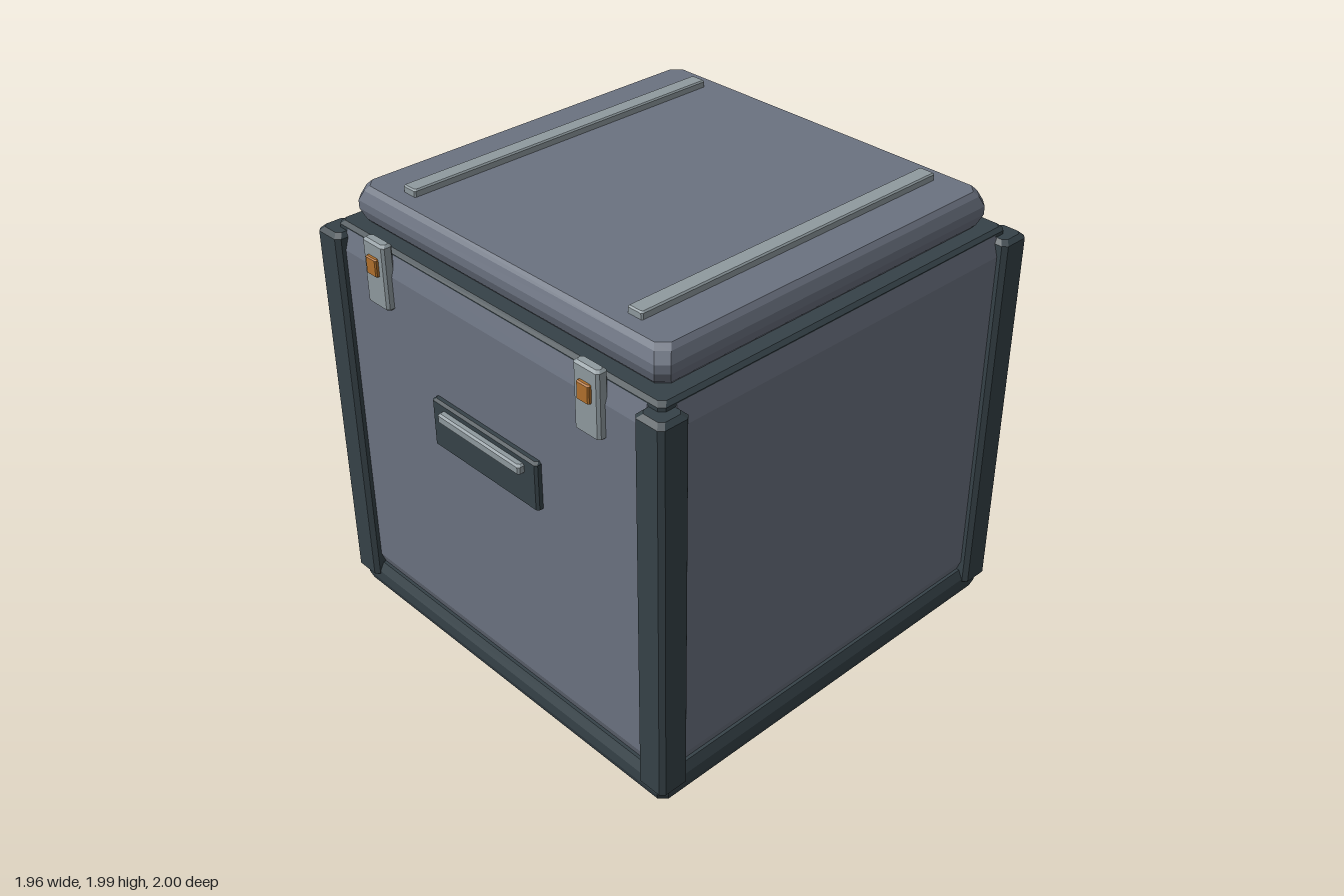
import * as THREE from 'three';
import { ConvexGeometry } from 'three/addons/geometries/ConvexGeometry.js';

const mat = (name, color) => {
  const m = new THREE.MeshStandardMaterial({ color });
  m.name = name;
  return m;
};

// Convex block from stacked rectangles with cut corners; rings are [inset, y]
function block(w, d, cut, rings) {
  const pts = [];
  for (const [inset, y] of rings) {
    const x = w / 2 - inset, z = d / 2 - inset;
    for (const sx of [-1, 1]) for (const sz of [-1, 1]) {
      pts.push(new THREE.Vector3(sx * (x - cut), y, sz * z));
      pts.push(new THREE.Vector3(sx * x, y, sz * (z - cut)));
    }
  }
  return new ConvexGeometry(pts);
}

// Box with small bevels on every edge, from y0 to y1
const bevelBox = (w, d, y0, y1, b) =>
  block(w, d, b, [[b, y0], [0, y0 + b], [0, y1 - b], [b, y1]]);

export function createModel() {
  const model = new THREE.Group();
  model.name = 'storageCrate';
  const panel = mat('slate panel', 0x6b7280);
  const trim = mat('dark trim', 0x364248);
  const metal = mat('pale metal', 0x8f9a9f);
  const amber = mat('amber button', 0xb0702c);

  const add = (parent, name, geo, material, x = 0, z = 0) => {
    const mesh = new THREE.Mesh(geo, material);
    mesh.name = name;
    mesh.position.set(x, 0, z);
    parent.add(mesh);
  };

  // Main shell
  add(model, 'base', block(1.92, 1.92, 0.03,
    [[0.04, 0], [0.012, 0.025], [0, 0.06], [0, 0.11], [0.02, 0.15]]), trim);
  add(model, 'body', block(1.89, 1.89, 0.07,
    [[0.03, 0.12], [0, 0.2], [0, 1.7], [0.025, 1.78]]), panel);
  add(model, 'rim', block(1.84, 1.84, 0.02,
    [[0.01, 1.75], [0, 1.77], [0, 1.785], [0.015, 1.8]]), trim);

  // Corner posts
  for (const x of [-0.91, 0.91]) for (const z of [-0.91, 0.91])
    add(model, 'cornerPost', bevelBox(0.14, 0.14, 0.08, 1.77, 0.018), trim, x, z);

  // Lid with two long rails
  add(model, 'lid', block(1.74, 1.74, 0.04,
    [[0.035, 1.795], [0.018, 1.815], [0, 1.86], [0, 1.895], [0.018, 1.935], [0.035, 1.955]]), panel);
  for (const x of [-0.63, 0.63])
    add(model, 'lidRail', bevelBox(0.074, 1.54, 1.94, 1.985, 0.006), metal, x);

  // Matching handle and latches on front and back
  for (const side of [1, -1]) {
    const face = new THREE.Group();
    face.name = side > 0 ? 'frontFittings' : 'backFittings';
    if (side < 0) face.rotation.y = Math.PI;
    add(face, 'handlePlate', bevelBox(0.62, 0.05, 1.06, 1.28, 0.01), trim, 0, 0.947);
    add(face, 'handleGrip', bevelBox(0.486, 0.04, 1.205, 1.25, 0.008), metal, 0, 0.98);
    for (const x of [-0.605, 0.605]) {
      add(face, 'latch', bevelBox(0.13, 0.05, 1.555, 1.838, 0.01), metal, x, 0.951);
      add(face, 'latchButton', bevelBox(0.064, 0.03, 1.698, 1.776, 0.005), amber, x, 0.976);
    }
    model.add(face);
  }
  return model;
}
